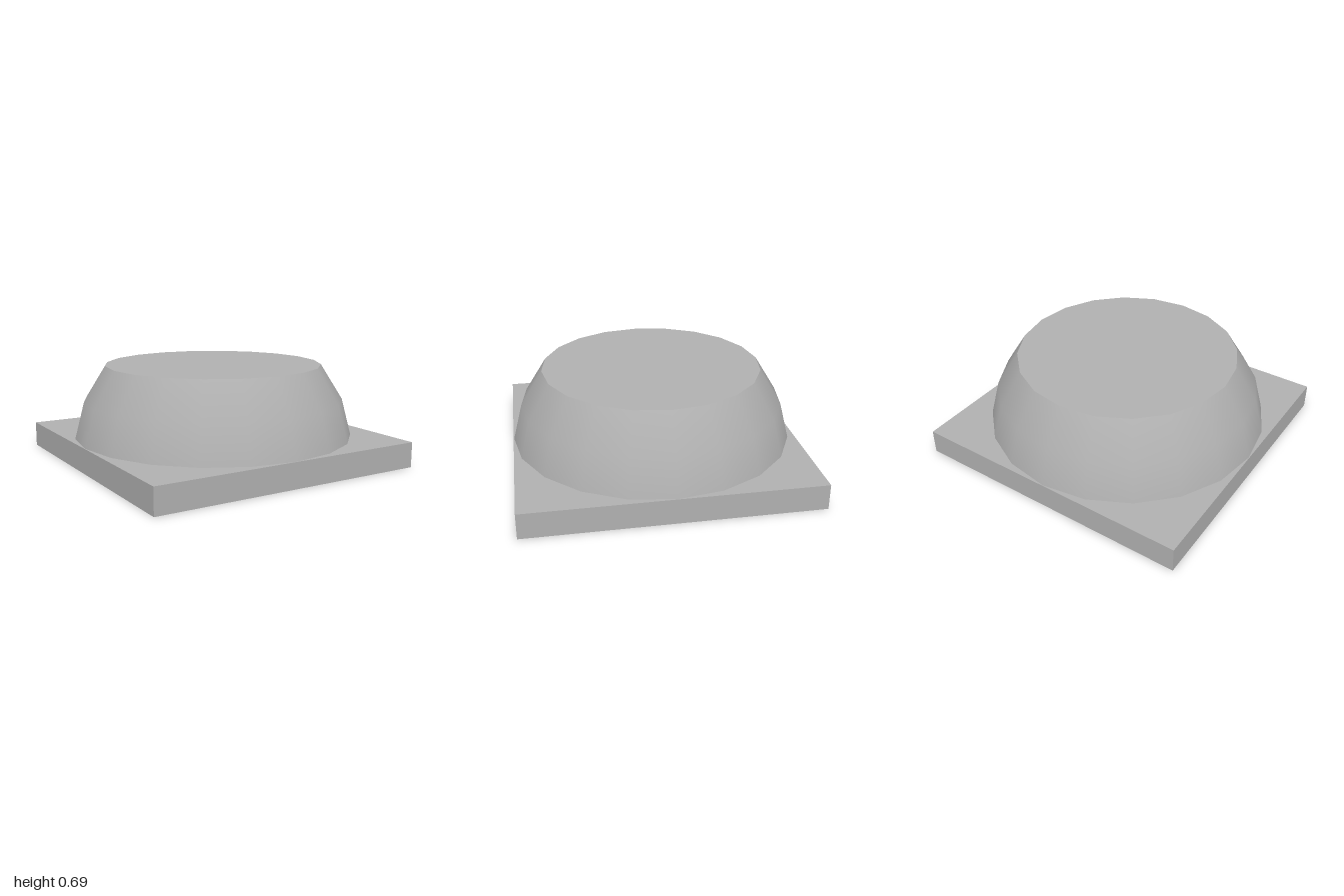
import * as THREE from 'three';

export function createModel() {
  const model = new THREE.Group();
  const grey = new THREE.MeshStandardMaterial({ color: 0xb0b0b0 });
  grey.name = 'grey';

  const add = (name, geometry, y) => {
    const mesh = new THREE.Mesh(geometry, grey);
    mesh.name = name;
    mesh.position.y = y;
    model.add(mesh);
    return mesh;
  };

  const sides = 20;
  const baseHeight = 0.178;
  const topHeight = 0.685;
  const topRadius = 0.772;

  // Square plinth
  add('basePlate', new THREE.BoxGeometry(2, baseHeight, 2), baseHeight / 2);

  // Rounded wall of the truncated dome, smooth around and up
  const profile = [
    [0.996, baseHeight - 0.004],
    [0.927, 0.437],
    [topRadius, topHeight],
  ].map(([r, y]) => new THREE.Vector2(r, y));
  add('domeWall', new THREE.LatheGeometry(profile, sides), 0);

  // Flat top, kept separate so its rim stays sharp
  const cap = new THREE.CircleGeometry(topRadius, sides);
  cap.rotateX(-Math.PI / 2);
  add('domeTop', cap, topHeight);

  return model;
}
